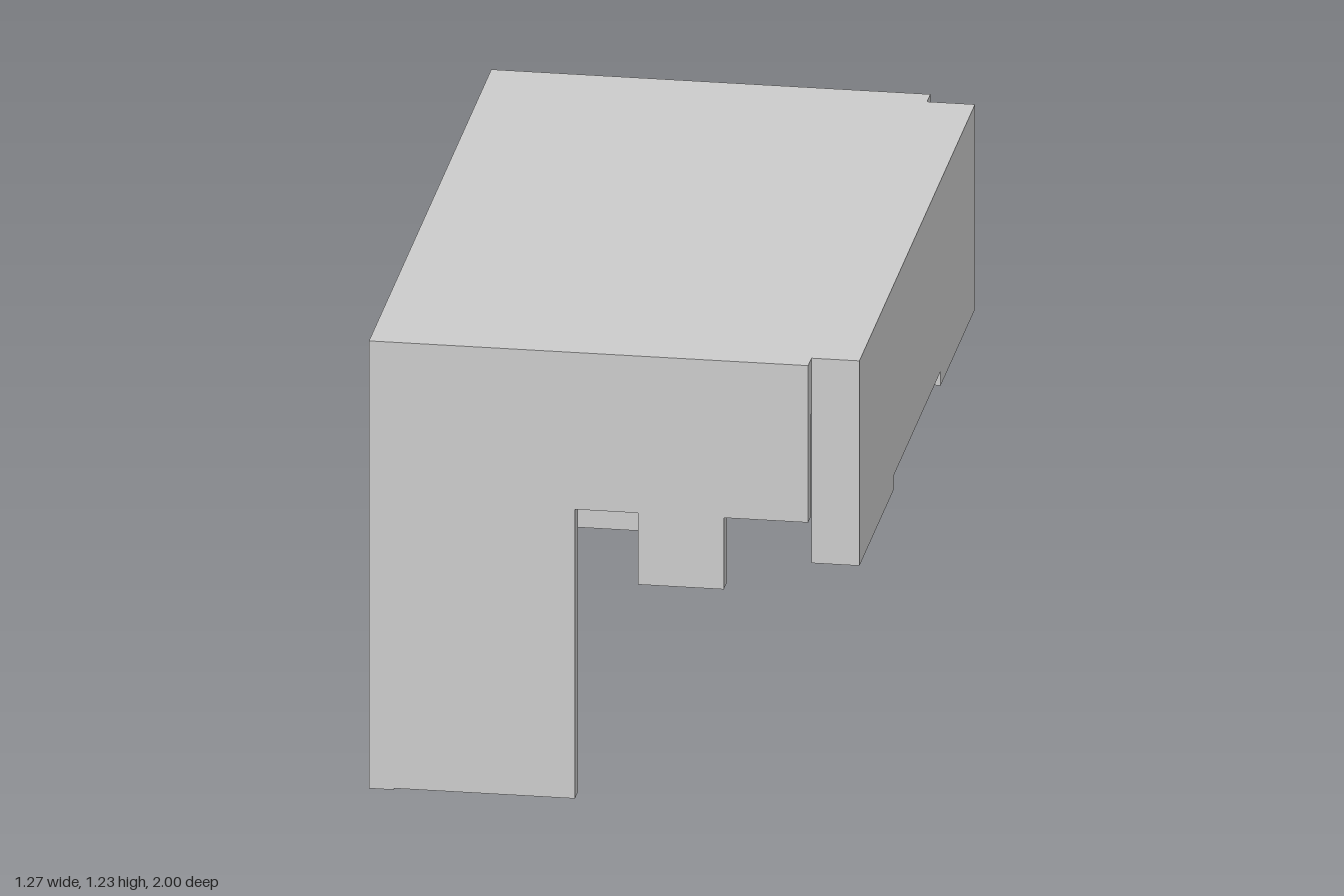
import * as THREE from 'three';

const TOP = 1.232;      // overall height
const BACK_IN = -0.57;  // inner face of the tall wall
const LIP = 0.51;       // where the side walls meet the thick panel
const INNER_Z = 0.95;   // inner faces of the side walls

export function createModel() {
  const group = new THREE.Group();
  const material = new THREE.MeshStandardMaterial({ color: 0xcccccc, flatShading: true });

  const add = (name, geometry) => {
    const mesh = new THREE.Mesh(geometry, material);
    mesh.name = name;
    group.add(mesh);
    return mesh;
  };

  // Box given by its lower and upper corners
  const box = (name, [x0, y0, z0], [x1, y1, z1]) =>
    add(name, new THREE.BoxGeometry(x1 - x0, y1 - y0, z1 - z0))
      .position.set((x0 + x1) / 2, (y0 + y1) / 2, (z0 + z1) / 2);

  // Flat outline extruded to a plate
  const plate = (name, points, depth) =>
    add(name, new THREE.ExtrudeGeometry(
      new THREE.Shape(points.map(([x, y]) => new THREE.Vector2(x, y))),
      { depth, bevelEnabled: false }));

  // Tall closed wall and thick roof slab
  box('tallWall', [-0.635, 0, -1], [BACK_IN, TOP, 1]);
  box('roof', [BACK_IN, 1.08, -INNER_Z], [LIP, TOP, INNER_Z]);

  // Side walls: a long leg, a short hanging tab and a cut-away lower edge
  const sideOutline = [
    [BACK_IN, 0.004], [-0.098, 0.004], [-0.098, 0.8], [0.067, 0.8],
    [0.067, 0.603], [0.29, 0.603], [0.29, 0.8], [LIP, 0.8],
    [LIP, TOP], [BACK_IN, TOP],
  ];
  plate('leftSideWall', sideOutline, 1 - INNER_Z).position.z = INNER_Z;
  plate('rightSideWall', sideOutline, 1 - INNER_Z).position.z = -1;

  // Thick panel with a shallow recess in its lower edge
  const panel = plate('notchedPanel', [
    [-0.945, 0.668], [-0.383, 0.668], [-0.383, 0.707], [0.383, 0.707],
    [0.383, 0.668], [0.945, 0.668], [0.945, TOP], [-0.945, TOP],
  ], 0.635 - LIP);
  panel.rotation.y = Math.PI / 2;
  panel.position.x = LIP;

  return group;
}
